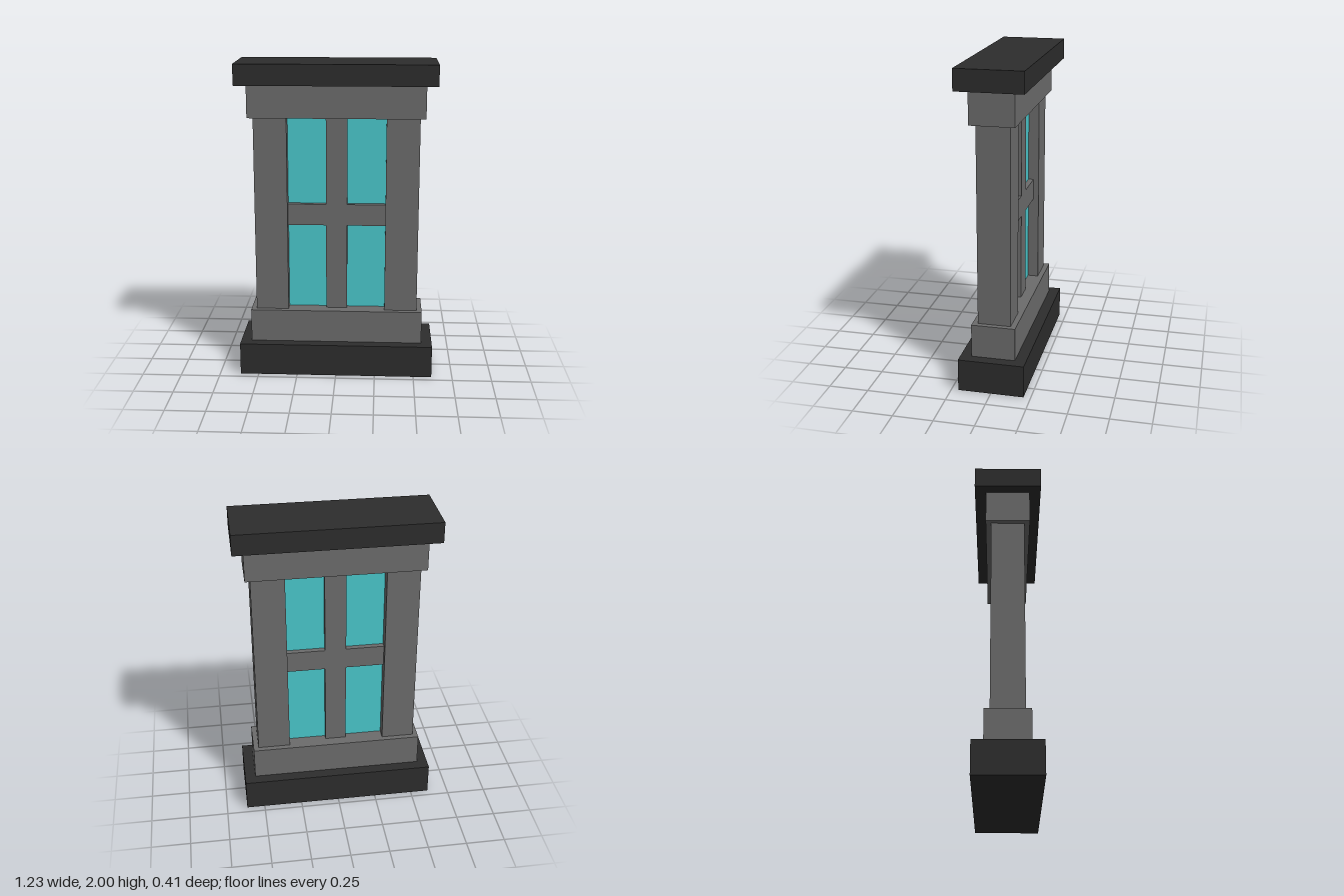
import * as THREE from 'three';

export function createModel() {
  const stone = new THREE.MeshStandardMaterial({ color: 0x6c6c6c });
  stone.name = 'grey stone';
  const slate = new THREE.MeshStandardMaterial({ color: 0x2d2d2d });
  slate.name = 'dark slate';
  const glass = new THREE.MeshStandardMaterial({ color: 0x4ac8cc });
  glass.name = 'turquoise glass';

  const model = new THREE.Group();
  model.name = 'window';

  // Box centred on z = 0, given by its x and y limits and its depth
  function block(name, material, x0, x1, y0, y1, depth) {
    const mesh = new THREE.Mesh(new THREE.BoxGeometry(x1 - x0, y1 - y0, depth), material);
    mesh.position.set((x0 + x1) / 2, (y0 + y1) / 2, 0);
    mesh.name = name;
    model.add(mesh);
  }

  const sillTop = 0.416, lintelBottom = 1.663;

  // Dark slabs at foot and top
  block('baseSlab', slate, -0.617, 0.617, 0, 0.206, 0.412);
  block('capSlab', slate, -0.617, 0.617, 1.87, 2, 0.412);

  // Sill and lintel
  block('sill', stone, -0.549, 0.549, 0.206, sillTop, 0.274);
  block('lintel', stone, -0.549, 0.549, lintelBottom, 1.87, 0.274);

  // Side pillars
  block('leftPillar', stone, 0.309, 0.516, sillTop, lintelBottom, 0.206);
  block('rightPillar', stone, -0.516, -0.309, sillTop, lintelBottom, 0.206);

  // Glazing bars: upright with a flush crossbar on each side
  block('mullion', stone, -0.067, 0.067, sillTop, lintelBottom, 0.137);
  block('leftCrossbar', stone, 0.067, 0.309, 0.97, 1.107, 0.137);
  block('rightCrossbar', stone, -0.309, -0.067, 0.97, 1.107, 0.137);

  // Four panes between the bars
  for (const [side, x0, x1] of [['left', 0.067, 0.309], ['right', -0.309, -0.067]]) {
    block(side + 'LowerPane', glass, x0, x1, sillTop, 0.97, 0.069);
    block(side + 'UpperPane', glass, x0, x1, 1.107, lintelBottom, 0.069);
  }

  return model;
}
